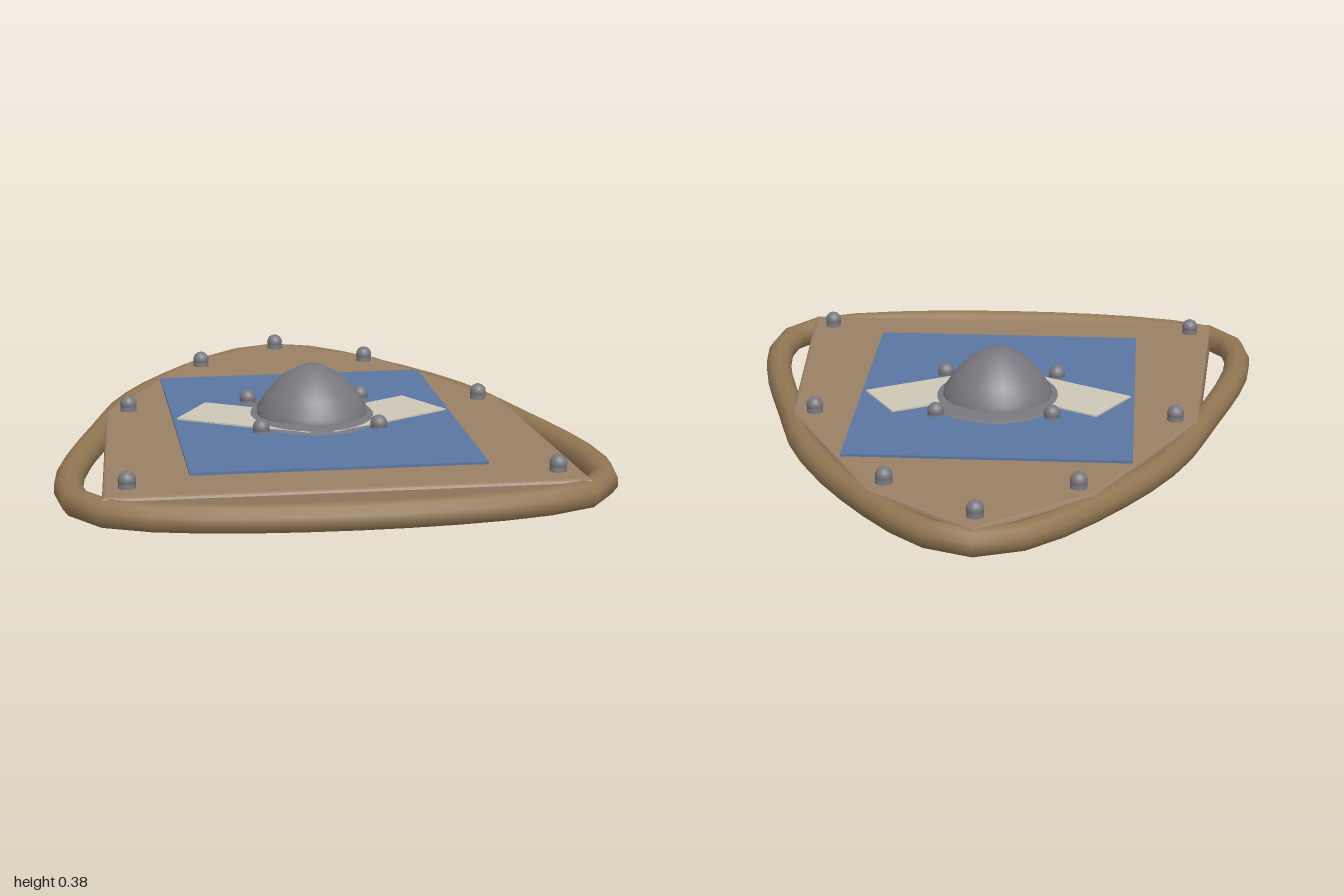
import * as THREE from 'three';
import { RoundedBoxGeometry } from 'three/addons/geometries/RoundedBoxGeometry.js';

const mat = (color) => new THREE.MeshStandardMaterial({ color });

export function createModel() {
  const group = new THREE.Group();
  const wood = mat(0x9a8066);
  const rimWood = mat(0x927753);
  const steel = mat(0x77777d);
  const blue = mat(0x5a76a2);
  const cream = mat(0xcdc7b6);
  const brass = mat(0xb8963e);

  const add = (name, geometry, material, x = 0, y = 0, z = 0, parent = group) => {
    const mesh = new THREE.Mesh(geometry, material);
    mesh.name = name;
    mesh.position.set(x, y, z);
    parent.add(mesh);
    return mesh;
  };

  // Shield outline as (x, z), mirrored around the tip
  const half = [[0.32, -0.7], [0.62, -0.1], [0.68, 0.835]];
  const outline = [[0, -0.96], ...half, ...half.map(([x, z]) => [-x, z]).reverse()];

  // Board with a small bevelled edge
  const shape = new THREE.Shape(outline.map(([x, z]) => new THREE.Vector2(x, -z)));
  const board = new THREE.ExtrudeGeometry(shape, {
    depth: 0.065, bevelEnabled: true, bevelSize: 0.01, bevelThickness: 0.01, bevelSegments: 2,
  });
  board.rotateX(-Math.PI / 2);
  add('board', board, wood, 0, 0.145, 0);

  // Rim: a smooth closed loop through the board corners
  const loop = new THREE.CatmullRomCurve3(
    outline.map(([x, z]) => new THREE.Vector3(x, 0.175, z)), true, 'catmullrom', 0.5);
  add('rim', new THREE.TubeGeometry(loop, 40, 0.042, 10, true), rimWood);

  // Painted field with two slanted bands
  add('paintedField', new THREE.BoxGeometry(0.865, 0.012, 1.12), blue, 0, 0.222, 0.095);
  for (const s of [-1, 1]) {
    const band = add(s > 0 ? 'leftBand' : 'rightBand',
      new THREE.BoxGeometry(0.44, 0.01, 0.21), cream, s * 0.178, 0.228, 0.09);
    band.rotation.y = s * Math.PI / 6;
  }

  // Domed boss on a shallow oval flange
  const lathe = (points, segments) =>
    new THREE.LatheGeometry(points.map(([r, y]) => new THREE.Vector2(r, y)), segments);
  const flange = add('bossFlange',
    lathe([[1, 0.222], [1, 0.229], [0.9, 0.233], [0.7, 0.239], [0, 0.243]], 32), steel, 0, 0, 0.06);
  flange.scale.set(0.212, 1, 0.25);
  add('bossDome',
    lathe([[0.172, 0.222], [0.17, 0.255], [0.14, 0.3], [0.093, 0.351], [0.035, 0.384], [0, 0.386]], 32),
    steel, 0, 0, 0.06);

  // Studs: round heads on short collars
  const addStud = (name, x, z) => {
    const stud = new THREE.Group();
    stud.name = name;
    stud.position.set(x, 0, z);
    add('studHead', new THREE.SphereGeometry(0.026, 16, 12), steel, 0, 0.242, 0, stud);
    add('studCollar', new THREE.CylinderGeometry(0.024, 0.026, 0.022, 16), steel, 0, 0.229, 0, stud);
    group.add(stud);
  };
  addStud('tipStud', 0, -0.88);
  for (const s of [-1, 1]) {
    for (const [x, z] of [[0.28, -0.655], [0.56, -0.095], [0.615, 0.745]]) addStud('edgeStud', s * x, z);
    for (const z of [-0.12, 0.245]) addStud('bossStud', s * 0.18, z);
  }

  // Crossed grips beneath the board, with a pair of knobs
  add('crossGrip', new RoundedBoxGeometry(0.49, 0.042, 0.105, 3, 0.014), rimWood, 0, 0.041, 0.06);
  add('longGrip', new RoundedBoxGeometry(0.092, 0.062, 0.745, 3, 0.014), rimWood, 0, 0.033, -0.088);
  for (const s of [-1, 1]) {
    add('gripKnob', new THREE.SphereGeometry(0.025, 16, 12), brass, s * 0.058, 0.036, -0.085);
  }

  return group;
}
